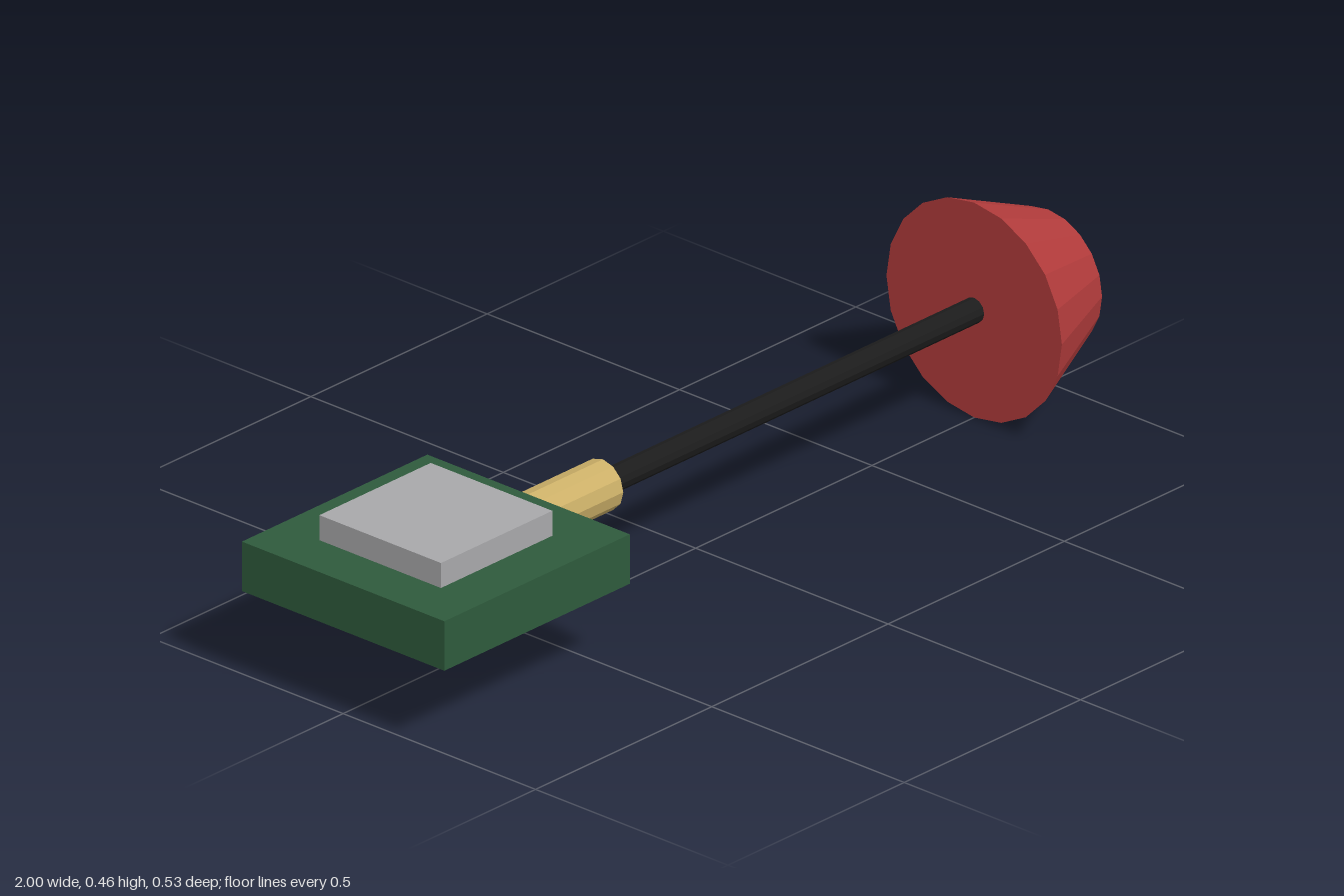
import * as THREE from 'three';

export function createModel() {
  const model = new THREE.Group();
  const axisY = 0.228;

  const mat = (name, color) => {
    const m = new THREE.MeshStandardMaterial({ color, flatShading: true });
    m.name = name;
    return m;
  };
  const green = mat('board green', 0x2e5a3c);
  const grey = mat('shield grey', 0xa8a8aa);
  const brass = mat('brass', 0xccb068);
  const black = mat('cable black', 0x1c1c1c);
  const red = mat('antenna red', 0xb33c3c);

  const add = (name, geometry, material, x, y) => {
    const mesh = new THREE.Mesh(geometry, material);
    mesh.name = name;
    mesh.position.set(x, y, 0);
    model.add(mesh);
    return mesh;
  };
  // Round part lying along x, from x0 to x1
  const rod = (name, material, x0, x1, r0, r1, sides) => {
    const geometry = new THREE.CylinderGeometry(r1, r0, x1 - x0, sides);
    geometry.rotateZ(-Math.PI / 2);
    add(name, geometry, material, (x0 + x1) / 2, axisY);
  };

  // Circuit board with a raised shield can
  add('board', new THREE.BoxGeometry(0.526, 0.105, 0.526), green, -0.737, axisY);
  add('shieldCan', new THREE.BoxGeometry(0.316, 0.053, 0.316), grey, -0.737, axisY + 0.079);

  // Connector, cable and flared antenna head
  rod('connector', brass, -0.474, -0.263, 0.053, 0.053, 12);
  rod('cable', black, -0.263, 0.79, 0.026, 0.026, 12);
  rod('antennaHead', red, 0.79, 1, 0.228, 0.14, 20);

  return model;
}
